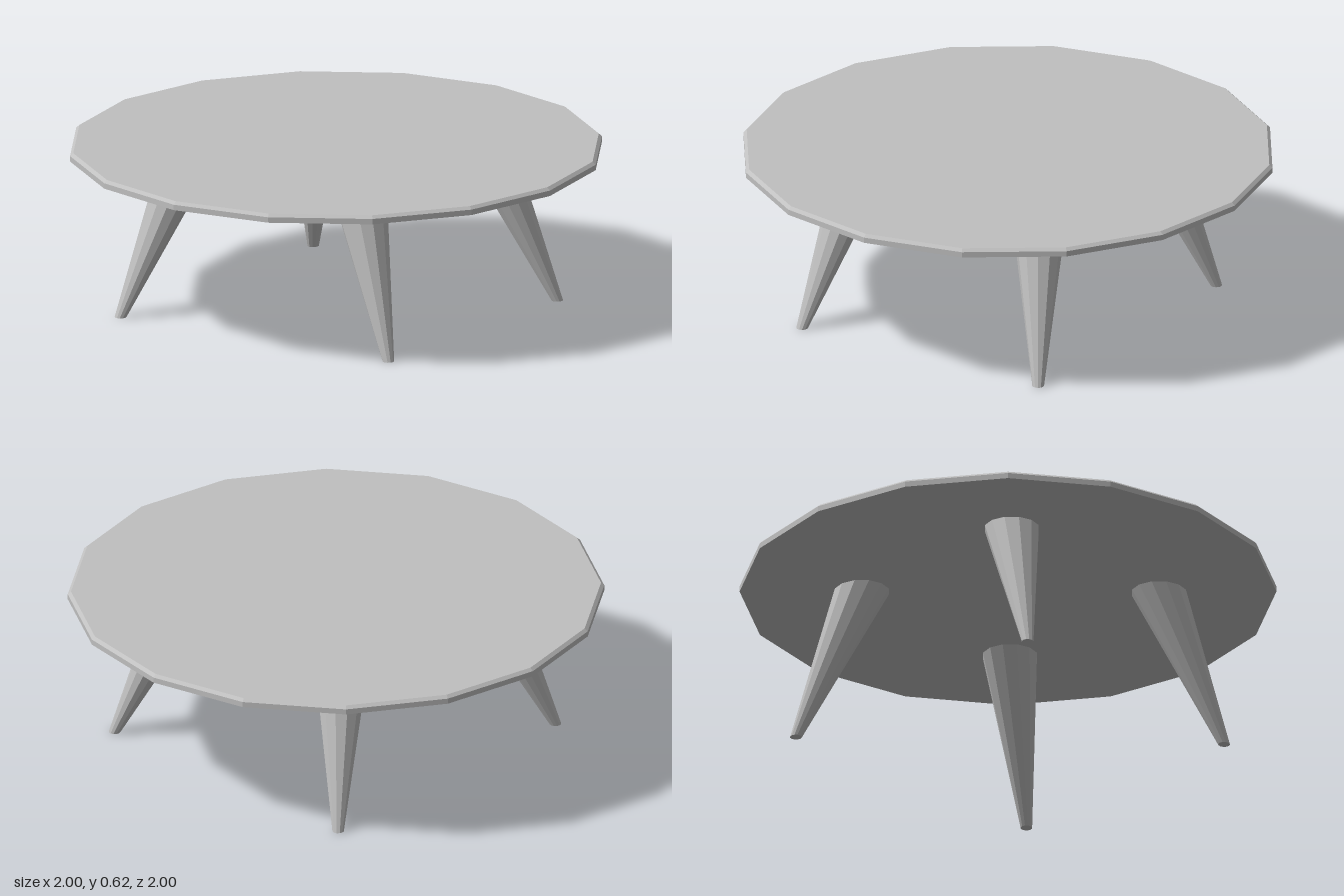
import * as THREE from 'three';

const TOP_Y = 0.588; // underside of the table top

// Tapered leg leaning from its foot (on the floor) to its head (under the top)
function makeLeg(material, [footX, footZ], [headX, headZ]) {
  const geometry = new THREE.CylinderGeometry(0.104, 0.022, TOP_Y, 12);
  geometry.translate(0, TOP_Y / 2, 0);
  const pos = geometry.attributes.position;
  for (let i = 0; i < pos.count; i++) {
    const t = pos.getY(i) / TOP_Y;
    pos.setX(i, pos.getX(i) + THREE.MathUtils.lerp(footX, headX, t));
    pos.setZ(i, pos.getZ(i) + THREE.MathUtils.lerp(footZ, headZ, t));
  }
  geometry.computeVertexNormals();
  return new THREE.Mesh(geometry, material);
}

export function createModel() {
  const table = new THREE.Group();
  table.name = 'table';
  const grey = new THREE.MeshStandardMaterial({ color: 0xc0c0c0, flatShading: true });
  grey.name = 'grey';

  // Sixteen-sided top with a small bevel on its upper edge
  const profile = [[0, TOP_Y], [1, TOP_Y], [1, 0.609], [0.988, 0.62], [0, 0.62]];
  const top = new THREE.Mesh(
    new THREE.LatheGeometry(profile.map(([r, y]) => new THREE.Vector2(r, y)), 16), grey);
  top.name = 'tableTop';
  table.add(top);

  // Four splayed legs, each with a slightly different lean
  const legs = {
    frontLeftLeg: [[0.533, 0.63], [0.395, 0.405]],
    frontRightLeg: [[-0.508, 0.63], [-0.39, 0.405]],
    backLeftLeg: [[0.574, -0.543], [0.385, -0.385]],
    backRightLeg: [[-0.632, -0.528], [-0.405, -0.385]],
  };
  for (const [name, [foot, head]] of Object.entries(legs)) {
    const leg = makeLeg(grey, foot, head);
    leg.name = name;
    table.add(leg);
  }
  return table;
}
